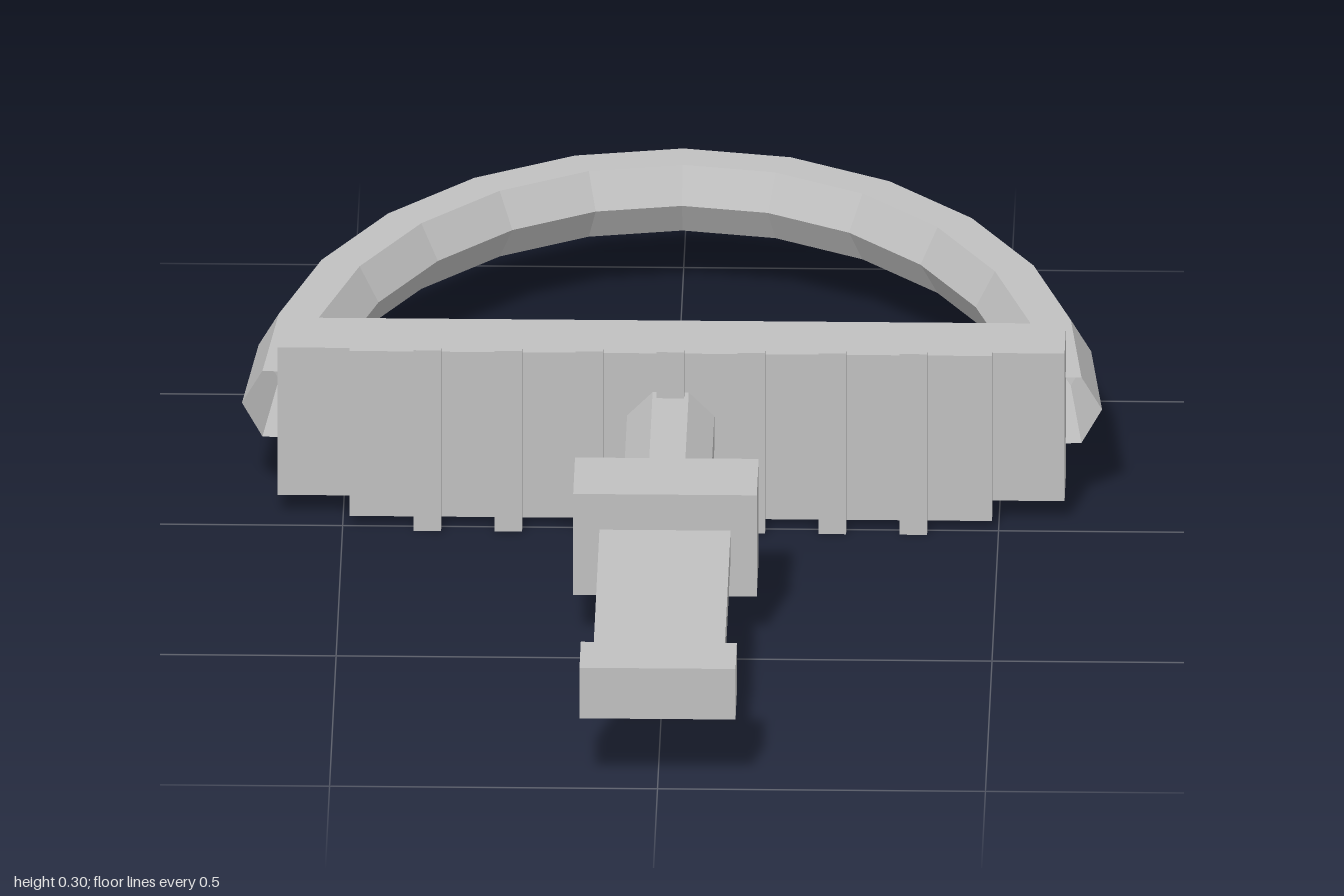
import * as THREE from 'three';

export function createModel() {
  const group = new THREE.Group();
  const grey = new THREE.MeshStandardMaterial({ color: 0xc0c0c0, flatShading: true, side: THREE.DoubleSide });
  grey.name = 'plain grey';
  const MID = 0.157; // height of the common axis

  function add(name, geometry) {
    const mesh = new THREE.Mesh(geometry, grey);
    mesh.name = name;
    group.add(mesh);
    return mesh;
  }
  // box centred on x, given its width, y range and z range
  function slab(name, width, y0, y1, z0, z1, x = 0) {
    const mesh = add(name, new THREE.BoxGeometry(width, y1 - y0, z1 - z0));
    mesh.position.set(x, (y0 + y1) / 2, (z0 + z1) / 2);
  }

  // crossbar with stepped front plate
  slab('crossbar', 1.2, 0.035, 0.28, -0.15, -0.035);
  slab('frontPlate', 0.98, 0.014, 0.288, -0.035, -0.005);

  // seven upright ribs on the plate
  for (let i = -3; i <= 3; i++) slab('rib', 0.042, 0, 0.3, -0.005, 0.018, i * 0.1235);

  // faceted shaft
  const shaft = add('shaft', new THREE.CylinderGeometry(0.072, 0.072, 0.283, 8));
  shaft.geometry.rotateY(Math.PI / 8).rotateX(Math.PI / 2);
  shaft.position.set(0, MID, 0.1365);

  // collar, flat blade and end block
  slab('collar', 0.28, 0.073, 0.241, 0.288, 0.428);
  slab('blade', 0.2, 0.134, 0.182, 0.428, 0.902);
  slab('endBlock', 0.238, 0.116, 0.2, 0.9, 1.0);

  // open hexagonal tube bent along half an ellipse
  const SEG = 12;
  const path = (i) => {
    const a = (Math.PI * Math.min(SEG, Math.max(0, i))) / SEG;
    return new THREE.Vector2(-0.593 * Math.cos(a), -0.1 - 0.837 * Math.sin(a));
  };
  const bow = new THREE.CylinderGeometry(0.063, 0.063, 1, 6, SEG, true);
  const pos = bow.attributes.position;
  for (let k = 0; k < pos.count; k++) {
    const i = Math.round((pos.getY(k) + 0.5) * SEG);
    const p = path(i);
    const t = path(i + 1).sub(path(i - 1)).normalize();
    const out = pos.getZ(k);
    pos.setXYZ(k, p.x + t.y * out, MID + pos.getX(k), p.y - t.x * out);
  }
  bow.computeVertexNormals();
  add('curvedHandle', bow);

  return group;
}
